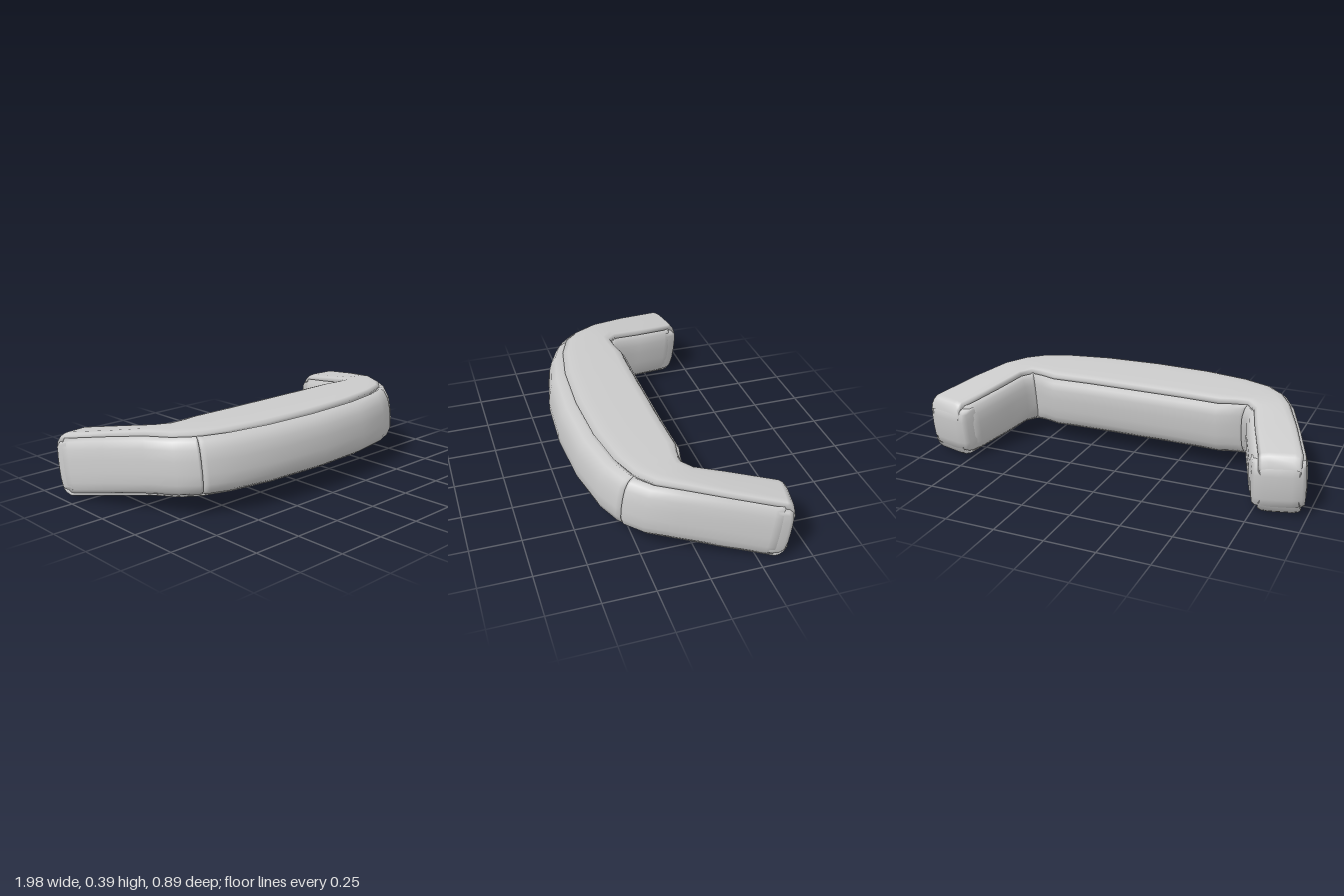
import * as THREE from 'three';

const material = new THREE.MeshStandardMaterial({ color: 0xcccccc, side: THREE.DoubleSide });

// Plan stations from the middle to the arm's end: outer x,z, inner x,z, outer corner inset
const STATIONS = [
  [0, 0.447, 0, -0.03, 0.075],
  [0.3, 0.43, 0.25, -0.03, 0.072],
  [0.52, 0.385, 0.45, -0.035, 0.065],
  [0.665, 0.32, 0.52, -0.015, 0.055],
  [0.755, 0.23, 0.57, -0.005, 0.045],
  [0.825, 0.1, 0.61, -0.04, 0.037],
  [0.905, -0.1, 0.65, -0.17, 0.03],
  [0.995, -0.335, 0.73, -0.39, 0.03],
  [1.0, -0.385, 0.745, -0.437, 0.03],
];
const INNER_INSET = 0.04;

// Station at any position along the U; negative t is the mirrored half
function station(t) {
  const a = Math.min(Math.abs(t), 8.2), i = Math.min(Math.floor(a), 7);
  const [ox, oz, ix, iz, inset] = STATIONS[i].map((v, k) => THREE.MathUtils.lerp(v, STATIONS[i + 1][k], a - i));
  const s = t < 0 ? -1 : 1;
  return { outer: new THREE.Vector2(ox * s, oz), inner: new THREE.Vector2(ix * s, iz), inset };
}

// The arms slope down toward the back, and upright faces lean with them
function place(p, r) {
  const drop = p.y < 0.05 ? 0.175 * (0.05 - p.y) : -0.04 * (p.y - 0.05);
  return [p.x, 0.225 + r - drop, p.y - 0.13 * r];
}

function patch(name, rows) {
  const n = rows[0].length, index = [];
  for (let i = 0; i < rows.length - 1; i++) {
    for (let j = 0; j < n - 1; j++) {
      const a = i * n + j, b = a + n;
      index.push(a, a + 1, b, b, a + 1, b + 1);
    }
  }
  const g = new THREE.BufferGeometry();
  g.setAttribute('position', new THREE.Float32BufferAttribute(rows.flat(2), 3));
  g.setIndex(index);
  g.computeVertexNormals();
  const mesh = new THREE.Mesh(g, material);
  mesh.name = name;
  return mesh;
}

// Half profiles as [inset multiple, height from the middle], starting in the seam
const SIDE = [[1.3, 0.118], [0.85, 0.133], [0.4, 0.115], [0.1, 0.08], [0, 0.03]];
const FLAT = [[1.3, 0.118], [1.0, 0.14], [1.4, 0.15], [2.2, 0.155]];

// Upright panel; stops are [t, indent], indents tuck the ends into the seams
function sidePanel(name, isOuter, stops) {
  const profile = [...SIDE, ...SIDE.map(([m, r]) => [m, -r]).reverse()];
  if (!isOuter) profile.reverse();
  return patch(name, stops.map(([t, indent]) => {
    const { outer, inner, inset } = station(t);
    const [from, to] = isOuter ? [outer, inner] : [inner, outer];
    const dir = to.clone().sub(from).normalize();
    return profile.map(([m, r]) =>
      place(from.clone().addScaledVector(dir, m * (isOuter ? inset : INNER_INSET) + indent), r));
  }));
}

// Top (sign 1) or bottom (sign -1) cushion
function flatPanel(name, sign, stops) {
  return patch(name, stops.map(([t, indent]) => {
    const { outer, inner, inset } = station(t);
    const dir = inner.clone().sub(outer).normalize();
    const a = FLAT.map(([m, r]) => place(outer.clone().addScaledVector(dir, m * inset), sign * (r - indent)));
    const b = FLAT.map(([m, r]) => place(inner.clone().addScaledVector(dir, -m * INNER_INSET), sign * (r - indent)));
    const row = [...a, ...b.reverse()];
    return sign > 0 ? row.reverse() : row;
  }));
}

// Puffed pad closing an arm
function endPad(name, side) {
  const steps = [[-1, 0], [-0.97, 0.5], [-0.85, 0.85], [-0.5, 0.97], [0, 1], [0.5, 0.97], [0.85, 0.85], [0.97, 0.5], [1, 0]];
  return patch(name, steps.map(([s, fs]) => steps.map(([v, fv]) => {
    const { outer, inner } = station(side * (6.85 + 1.25 * fs * fv));
    const [lo, hi] = side > 0 ? [inner, outer] : [outer, inner];
    const across = 0.5 + 0.48 * s * (1 - 0.06 * v ** 4);
    return place(lo.clone().lerp(hi, across), 0.122 * v * (1 - 0.06 * s ** 4));
  })));
}

const mirrored = (stops) => [...stops.slice(1).reverse().map(([t, d]) => [-t, d]), ...stops];

export function createModel() {
  const group = new THREE.Group();
  group.name = 'curvedCushion';

  // Top and bottom run the whole length and roll over at the arm ends
  const long = mirrored([0, 1, 2, 3, 4, 5, 6, 7].map((t) => [t, 0])
    .concat([[7.4, 0.008], [7.75, 0.025], [7.95, 0.055]]));
  group.add(flatPanel('topPanel', 1, long), flatPanel('bottomPanel', -1, long));

  // Middle panels
  group.add(sidePanel('frontPanel', true,
    mirrored([[0, 0], [1, 0], [2, 0], [2.85, 0], [2.96, 0.006], [3, 0.025]])));
  group.add(sidePanel('backPanel', false,
    mirrored([[0, 0], [1, 0], [2, 0], [3, 0], [3.85, 0], [4, 0.012]])));

  // Arm panels and end pads
  const tail = [[5, 0], [6, 0], [6.8, 0], [6.95, 0.006], [7.05, 0.03]];
  for (const [label, side] of [['left', 1], ['right', -1]]) {
    const orient = (stops) => (side > 0 ? stops : stops.map(([t, d]) => [-t, d]).reverse());
    group.add(
      sidePanel(label + 'OuterArmPanel', true, orient([[3, 0.025], [3.04, 0.006], [3.15, 0], [4, 0], ...tail])),
      sidePanel(label + 'InnerArmPanel', false, orient([[4, 0.012], [4.2, 0], ...tail])),
      endPad(label + 'EndPad', side),
    );
  }
  return group;
}
